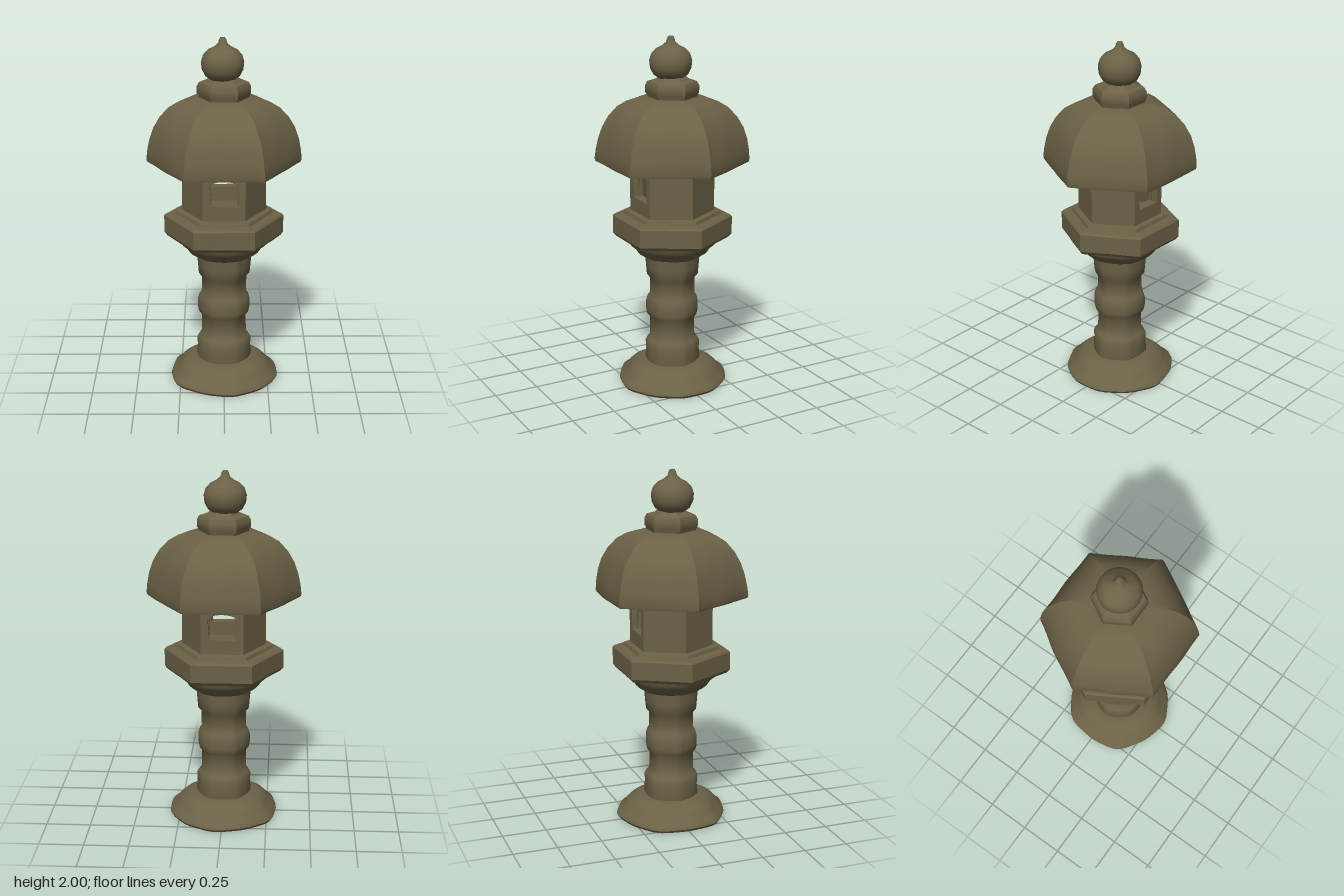
import * as THREE from 'three';
import { toCreasedNormals } from 'three/addons/utils/BufferGeometryUtils.js';

const stone = new THREE.MeshStandardMaterial({ color: 0x6b6246 });
stone.name = 'mossy stone';

// Hexagon outline (1 at the corners, corners on +x and -x), blended with a circle
const hexPlan = (sharp = 1, bulge = 0) => (phi) => {
  const a = ((phi - Math.PI / 2) % (Math.PI / 3) + Math.PI / 3) % (Math.PI / 3) - Math.PI / 6;
  const hex = Math.cos(Math.PI / 6) / Math.cos(a);
  return 1 + sharp * (hex - 1) + bulge * Math.cos(3 * a) ** 2;
};

// Turned body whose radius follows a plan outline, with slight carved unevenness
function turned(name, profile, plan, { segments = 48, rough = 0.008, crease = 0.6 } = {}) {
  const geo = new THREE.LatheGeometry(profile.map(([r, y]) => new THREE.Vector2(r, y)), segments);
  const p = geo.attributes.position;
  for (let i = 0; i < p.count; i++) {
    const x = p.getX(i), y = p.getY(i), z = p.getZ(i);
    const phi = Math.atan2(x, z);
    const wear = rough * (Math.sin(5 * phi + 9 * y) + 0.6 * Math.sin(11 * phi - 14 * y));
    const k = plan(phi) * (1 + wear);
    p.setXYZ(i, x * k, y, z * k);
  }
  const mesh = new THREE.Mesh(toCreasedNormals(geo, crease), stone);
  mesh.name = name;
  return mesh;
}

// One wall of the light chamber, with an optional rounded window
function wall(index, open) {
  const w = 0.1175, y0 = 1.0, y1 = 1.33;
  const shape = new THREE.Shape([[-w, y0], [w, y0], [w, y1], [-w, y1]].map(([x, y]) => new THREE.Vector2(x, y)));
  if (open) {
    const hole = new THREE.Path();
    hole.moveTo(-0.07, 1.105);
    hole.lineTo(-0.08, 1.23);
    hole.quadraticCurveTo(0, 1.265, 0.08, 1.23);
    hole.lineTo(0.08, 1.1);
    hole.closePath();
    shape.holes.push(hole);
  }
  const geo = new THREE.ExtrudeGeometry(shape, { depth: 0.055, bevelEnabled: false, curveSegments: 6 });
  geo.translate(0, 0, 0.2035 - 0.055);
  geo.rotateY(index * Math.PI / 3);
  const mesh = new THREE.Mesh(geo, stone);
  mesh.name = open ? 'windowWall' : 'solidWall';
  return mesh;
}

export function createModel() {
  const model = new THREE.Group();
  model.name = 'stoneLantern';

  // Spreading foot with petal-like lobes
  model.add(turned('foot', [
    [0, 0], [0.3, 0], [0.31, 0.015], [0.302, 0.035], [0.275, 0.05], [0.26, 0.075],
    [0.235, 0.1], [0.2, 0.12], [0.165, 0.128], [0, 0.13],
  ], (phi) => 1 + 0.012 * Math.cos(6 * phi), { rough: 0.014, crease: 0.8 }));

  // Column with raised bands
  model.add(turned('column', [
    [0.15, 0.11], [0.157, 0.14], [0.152, 0.19], [0.155, 0.235], [0.145, 0.255], [0.128, 0.275],
    [0.126, 0.38], [0.142, 0.4], [0.148, 0.43], [0.148, 0.48], [0.14, 0.51], [0.127, 0.53],
    [0.127, 0.62], [0.145, 0.64], [0.15, 0.7], [0.157, 0.78],
  ], hexPlan(0.35), { crease: 0.9 }));

  // Rounded bowl carrying the platform
  model.add(turned('bowl', [
    [0.14, 0.755], [0.175, 0.765], [0.205, 0.785], [0.225, 0.815], [0.25, 0.835], [0.255, 0.87],
  ], hexPlan(0.35, 0.02), { crease: 0.9 }));

  // Hexagonal platform with a stepped top
  model.add(turned('platform', [
    [0, 0.855], [0.27, 0.858], [0.318, 0.865], [0.335, 0.885], [0.335, 0.985], [0.325, 0.995],
    [0.275, 1.0], [0.268, 1.018], [0.24, 1.022], [0, 1.022],
  ], hexPlan(), { rough: 0.003 }));

  // Hollow light chamber, open front and back
  const chamber = new THREE.Group();
  chamber.name = 'lightChamber';
  for (let i = 0; i < 6; i++) chamber.add(wall(i, i % 3 === 0));
  model.add(chamber);

  // Domed six-ridged roof
  model.add(turned('roof', [
    [0, 1.325], [0.25, 1.325], [0.33, 1.315], [0.425, 1.3], [0.43, 1.315], [0.424, 1.37],
    [0.412, 1.43], [0.39, 1.495], [0.355, 1.555], [0.305, 1.61], [0.25, 1.642], [0.19, 1.66],
    [0.13, 1.668], [0, 1.67],
  ], hexPlan(1, 0.012), { segments: 72, rough: 0.005, crease: 0.45 }));

  // Hexagonal collar
  model.add(turned('collar', [
    [0.138, 1.64], [0.138, 1.675], [0.148, 1.69], [0.148, 1.73], [0.135, 1.752],
    [0.09, 1.765], [0.07, 1.785], [0, 1.785],
  ], hexPlan(), { rough: 0.002 }));

  // Jewel finial with a pointed tip
  const finial = turned('finial', [
    [0, 1.76], [0.065, 1.768], [0.095, 1.79], [0.113, 1.825], [0.117, 1.865], [0.107, 1.9],
    [0.082, 1.928], [0.045, 1.948], [0.026, 1.965], [0.02, 1.985], [0.014, 1.997], [0, 2.0],
  ], () => 1, { segments: 36, rough: 0.003, crease: 1.2 });
  finial.position.x = -0.007;
  finial.position.z = 0.005;
  model.add(finial);

  return model;
}
